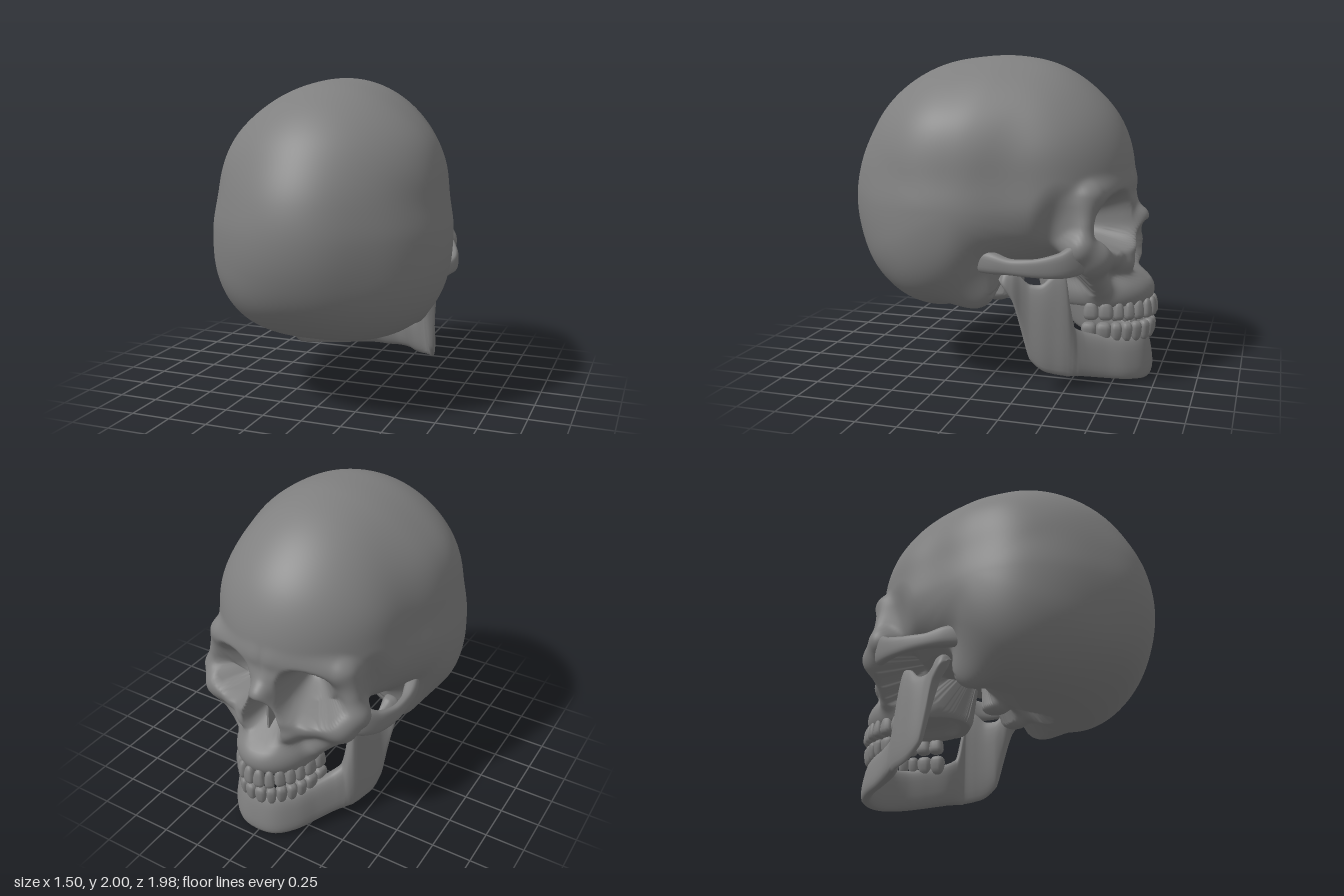
import * as THREE from 'three';
import { mergeVertices } from 'three/addons/utils/BufferGeometryUtils.js';

const material = new THREE.MeshStandardMaterial({ color: 0x808080 });
const { hypot, max, min, abs, pow, sin, cos, sign, exp, PI } = Math;
const CENTRE_Y = 0.95, CENTRE_Z = -0.15; // point the cranium is cast from

// --- soft solid helpers: negative inside, positive outside ---
const join = (a, b, k) => min(a, b) - pow(max(k - abs(a - b), 0), 2) / (4 * k);
const carve = (a, b, k) => -join(-a, b, k);
const bump = (v, at, width) => exp(-pow((v - at) / width, 2));
function ellipsoid(x, y, z, cx, cy, cz, rx, ry, rz) {
  const px = (x - cx) / rx, py = (y - cy) / ry, pz = (z - cz) / rz;
  const d = hypot(px, py, pz);
  return d * (d - 1) / max(hypot(px / rx, py / ry, pz / rz), 1e-6);
}
function capsule(x, y, z, a, b, r) {
  const dx = b[0] - a[0], dy = b[1] - a[1], dz = b[2] - a[2];
  const px = x - a[0], py = y - a[1], pz = z - a[2];
  const t = max(0, min(1, (px * dx + py * dy + pz * dz) / (dx * dx + dy * dy + dz * dz)));
  return hypot(px - dx * t, py - dy * t, pz - dz * t) - r;
}
// Bowl opening towards the face and widening along the rays from the centre
function bowl(x, y, z, cx, cy, rx, ry, taper, floor, depth) {
  if (z > -0.3) return 1;
  const s = (CENTRE_Z - z) / 0.6;
  const v = ((y - CENTRE_Y) / s - cy) / ry;
  const u = (x / s - cx) / (rx * max(0.3, 1 - taper * v));
  const e = pow(pow(abs(u), 2.6) + pow(abs(v), 2.6), 2 / 2.6);
  return (floor + depth * e * e + z) / hypot(1, 4 * depth * pow(e, 1.5) / min(rx, ry));
}

// Side profile of the braincase: radius every 15 degrees, from the back over the top to the face
const PROFILE = [0.845, 0.842, 0.84, 0.855, 0.868, 0.88, 0.892, 0.93, 0.977, 1.005, 1.02, 1.0,
  0.95, 0.82, 0.66, 0.54, 0.5, 0.55, 0.63, 0.702, 0.755, 0.797, 0.832, 0.842];
function profileRadius(angle) {
  const u = ((angle / (2 * PI) + 1) % 1) * 24, i = Math.floor(u), t = u - i;
  const [a, b, c, d] = [23, 0, 1, 2].map((o) => PROFILE[(i + o) % 24]);
  return b + 0.5 * t * (c - a + t * (2 * a - 5 * b + 4 * c - d + t * (3 * (b - c) + d - a)));
}
function braincase(x, y, z) {
  const dy = y - 1.1, dz = z - 0.15, rho = hypot(dy, dz);
  const down = max(0, -dy / max(rho, 1e-6));
  const p = 2 + 0.85 * down * down;
  // broad parietal bosses, narrow temples, tapering back
  const width = 0.745 * (1 + 0.03 * bump(z, 0.42, 0.22) - 0.06 * bump(z, -0.2, 0.22) - 0.08 * bump(z, 0.9, 0.16)
    + 0.04 * bump(y, 1.66, 0.17) * bump(z, 0.25, 0.4) - 0.025 * bump(y, 1.28, 0.15));
  const q = pow(x / width, p) + pow(rho / profileRadius(Math.atan2(dy, dz)), p);
  return (pow(q, 1 / p) - 1) * 0.75;
}

// Ridges and struts of the face, for one side: [from, to, radius]
const STRUTS = [
  [[0.05, 1.225, -0.745], [0.40, 1.19, -0.645], 0.065], // brow
  [[0.44, 1.18, -0.615], [0.50, 0.93, -0.61], 0.058],   // outer eye rim
  [[0.40, 1.13, -0.52], [0.42, 0.92, -0.51], 0.09],     // wall behind the eye
  [[0.50, 0.88, -0.595], [0.43, 0.83, -0.67], 0.083],   // cheekbone
  [[0.43, 0.83, -0.67], [0.26, 0.81, -0.725], 0.08],    // lower eye rim
  [[0.44, 0.78, -0.64], [0.27, 0.62, -0.67], 0.06],     // cheek buttress
  [[0.075, 1.1, -0.76], [0.145, 0.76, -0.80], 0.058],   // side of nose
  [[0, 1.14, -0.745], [0, 1.03, -0.85], 0.05],          // nasal bone
  [[0, 1.01, -0.873], [0.11, 0.86, -0.82], 0.036],      // rim of nose
  [[0, 0.68, -0.84], [0, 0.675, -0.89], 0.022],         // nasal spine
];

function craniumField(sx, y, z) {
  const x = abs(sx);
  let d = braincase(x, y, z);
  // hollow of the temple
  d = carve(d, ellipsoid(x, y, z, 0.64, 1.0, -0.53, 0.13, 0.22, 0.13), 0.1);
  // upper jaw with a flat lower edge
  d = join(d, ellipsoid(x, y, z, 0, 0.76, -0.58, 0.3, 0.18, 0.28), 0.06);
  d = join(d, max(ellipsoid(x, y, z, 0, 0.56, -0.6, 0.275, 0.2, 0.365), 0.485 - y), 0.04);
  for (const [a, b, r] of STRUTS) d = join(d, capsule(x, y, z, a, b, r), 0.07);
  // skull base: mastoid, condyle, pterygoid
  d = join(d, ellipsoid(x, y, z, 0.5, 0.64, 0.06, 0.085, 0.155, 0.15), 0.14);
  d = join(d, ellipsoid(x, y, z, 0.14, 0.515, 0.02, 0.07, 0.065, 0.1), 0.05);
  d = join(d, ellipsoid(x, y, z, 0.16, 0.64, -0.42, 0.05, 0.14, 0.08), 0.08);
  // eye socket and pear-shaped nose opening
  d = carve(d, bowl(x, y, z, 0.277, 0.07, 0.186, 0.168, 0, 0.45, 0.3), 0.02);
  d = carve(d, bowl(x, y, z, 0, -0.1, 0.102, 0.13, 0.35, 0.62, 0.24), 0.02);
  // palate and spinal opening
  d = carve(d, ellipsoid(x, y, z, 0, 0.47, -0.58, 0.18, 0.08, 0.25), 0.03);
  return carve(d, ellipsoid(x, y, z, 0, 0.45, 0.17, 0.1, 0.12, 0.13), 0.03);
}

// Sphere whose vertices slide along rays onto the field, with more columns on the face
function createCranium() {
  const sphere = new THREE.SphereGeometry(1, 240, 180);
  sphere.deleteAttribute('uv');
  sphere.deleteAttribute('normal');
  const geometry = mergeVertices(sphere, 1e-5);
  const pos = geometry.attributes.position;
  for (let i = 0; i < pos.count; i++) {
    const dy = pos.getY(i), ring = hypot(pos.getX(i), pos.getZ(i));
    let phi = Math.atan2(pos.getX(i), -pos.getZ(i));
    phi -= 0.5 * sin(phi);
    const dx = ring * sin(phi), dz = -ring * cos(phi);
    const field = (r) => craniumField(dx * r, CENTRE_Y + dy * r, CENTRE_Z + dz * r);
    let outer = 1.3;
    while (outer > 0.1 && field(outer) > 0) outer -= 0.012;
    let inner = outer;
    outer += 0.012;
    for (let k = 0; k < 12; k++) {
      const mid = (inner + outer) / 2;
      if (field(mid) > 0) outer = mid; else inner = mid;
    }
    pos.setXYZ(i, dx * inner, CENTRE_Y + dy * inner, CENTRE_Z + dz * inner);
  }
  geometry.computeVertexNormals();
  return geometry;
}

// Upright rounded sections along a plan path; station = [x, z, half thickness, bottom, top]
function sweep(stations, flare = 0) {
  const plan = new THREE.CatmullRomCurve3(stations.map((s) => new THREE.Vector3(s[0], 0, s[1])));
  const size = new THREE.CatmullRomCurve3(stations.map((s) => new THREE.Vector3(s[2], s[3], s[4])));
  const steps = (stations.length - 1) * 7, sides = 24;
  const positions = [], index = [];
  for (let i = 0; i <= steps; i++) {
    const c = plan.getPoint(i / steps), t = plan.getTangent(i / steps), s = size.getPoint(i / steps);
    for (let j = 0; j < sides; j++) {
      const a = (j / sides) * 2 * PI;
      const up = sign(sin(a)) * pow(abs(sin(a)), 0.8);
      const out = s.x * sign(cos(a)) * pow(abs(cos(a)), 0.7) - flare * up;
      positions.push(c.x + t.z * out, (s.y + s.z) / 2 + up * (s.z - s.y) / 2, c.z - t.x * out);
      if (i === steps) continue;
      const p = i * sides + j, q = i * sides + (j + 1) % sides;
      index.push(p, q, p + sides, q, q + sides, p + sides);
    }
  }
  const geometry = new THREE.BufferGeometry();
  geometry.setAttribute('position', new THREE.Float32BufferAttribute(positions, 3));
  geometry.setIndex(index);
  geometry.computeVertexNormals();
  return geometry;
}
const mirrored = (stations) => stations.map(([x, ...rest]) => [-x, ...rest]);

// Half of the lower jaw, from the chin to the hinge
const JAW = [
  [0, -0.908, 0.045, 0.005, 0.285], [0.1, -0.893, 0.045, 0.012, 0.285], [0.19, -0.815, 0.045, 0.028, 0.285],
  [0.26, -0.7, 0.045, 0.048, 0.305], [0.33, -0.59, 0.05, 0.07, 0.34], [0.375, -0.54, 0.045, 0.08, 0.385],
  [0.4, -0.515, 0.04, 0.085, 0.55], [0.42, -0.49, 0.033, 0.092, 0.735], [0.445, -0.43, 0.03, 0.105, 0.715],
  [0.47, -0.365, 0.03, 0.13, 0.655], [0.485, -0.29, 0.03, 0.20, 0.65], [0.495, -0.24, 0.033, 0.38, 0.69],
  [0.505, -0.19, 0.045, 0.56, 0.735], [0.51, -0.14, 0.045, 0.64, 0.735], [0.51, -0.11, 0.005, 0.685, 0.7],
];

// Cheek arch, from the ear to the cheekbone
const ARCH = [
  [0.52, 0.12, 0.02, 0.75, 0.85], [0.568, 0.02, 0.035, 0.735, 0.87], [0.602, -0.09, 0.042, 0.735, 0.865],
  [0.626, -0.22, 0.03, 0.74, 0.835], [0.628, -0.36, 0.027, 0.735, 0.845], [0.592, -0.49, 0.034, 0.73, 0.88],
  [0.53, -0.58, 0.04, 0.74, 0.93], [0.45, -0.65, 0.025, 0.78, 0.86],
];

// Boxy crown, narrower at the gum (top)
function createCrown() {
  const geometry = new THREE.SphereGeometry(1, 14, 10);
  const pos = geometry.attributes.position;
  const square = (v) => sign(v) * pow(abs(v), 0.75);
  for (let i = 0; i < pos.count; i++) {
    const y = square(pos.getY(i)), taper = 0.88 - 0.18 * y;
    pos.setXYZ(i, square(pos.getX(i)) * taper, y, square(pos.getZ(i)) * taper);
  }
  geometry.computeVertexNormals();
  return geometry;
}

// Row of teeth along the dental arch, both sides; dir is 1 for upper, -1 for lower
function createTeeth(name, y, dir, inset) {
  const row = new THREE.Group();
  row.name = name;
  const arch = new THREE.CatmullRomCurve3([[0, -0.963], [0.09, -0.935], [0.172, -0.84], [0.22, -0.73], [0.252, -0.55]]
    .map(([x, z]) => new THREE.Vector3(x, 0, z + inset)));
  const crown = createCrown(), length = arch.getLength();
  let s = 0;
  [0.07, 0.06, 0.065, 0.065, 0.065, 0.09, 0.09].forEach((width, i) => {
    const u = (s + width / 2) / length, p = arch.getPointAt(u), t = arch.getTangentAt(u);
    s += width;
    for (const side of [1, -1]) {
      const tooth = new THREE.Mesh(crown, material);
      tooth.name = i < 2 ? 'incisor' : i < 3 ? 'canine' : 'molar';
      tooth.position.set(side * p.x, y, p.z);
      tooth.rotation.set(0, Math.atan2(side * t.z, -t.x), dir > 0 ? 0 : PI);
      tooth.scale.set(width * 0.58, 0.062, i < 3 ? 0.036 : 0.045);
      row.add(tooth);
    }
  });
  return row;
}

export function createModel() {
  const skull = new THREE.Group();
  skull.name = 'skull';
  const add = (name, geometry) => {
    const mesh = new THREE.Mesh(geometry, material);
    mesh.name = name;
    skull.add(mesh);
    return mesh;
  };
  add('cranium', createCranium());
  add('leftCheekArch', sweep(ARCH));
  add('rightCheekArch', sweep(mirrored(ARCH)));
  add('lowerJaw', sweep([...mirrored(JAW.slice(1)).reverse(), ...JAW], 0.022));
  add('nasalSeptum', new THREE.BoxGeometry(0.014, 0.24, 0.14)).position.set(0, 0.82, -0.72);
  skull.add(createTeeth('upperTeeth', 0.46, 1, 0), createTeeth('lowerTeeth', 0.32, -1, 0.012));
  return skull;
}
